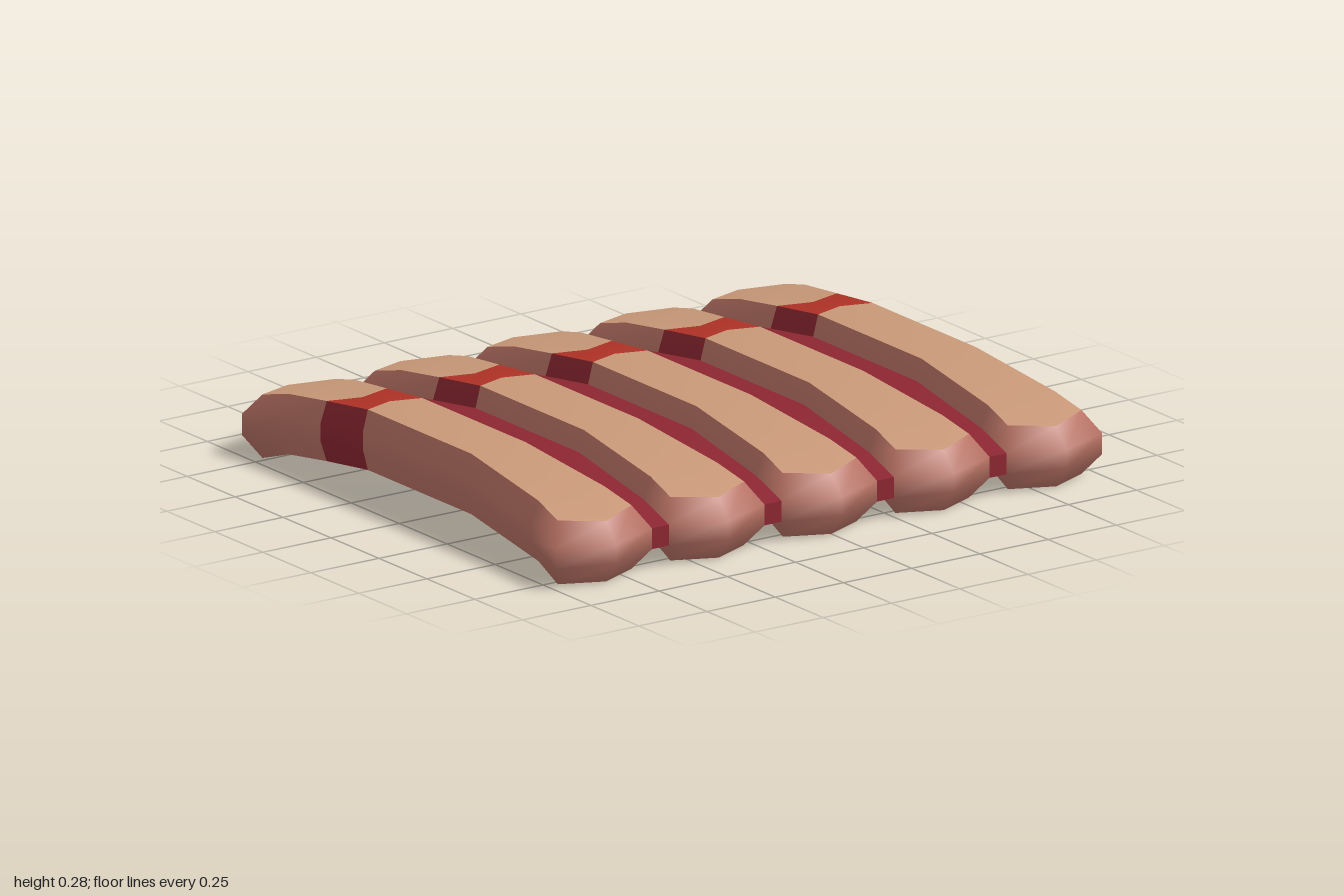
import * as THREE from 'three';

const COUNT = 5, SPACING = 0.4125;

// Cross-sections front to back: edge z, centre z, widest z, half width of top, half width of side, top y, bottom y
const STATIONS = [
  [0.77, 0.83, 0.82, 0.135, 0.175, 0.20, 0.0],
  [0.65, 0.65, 0.65, 0.122, 0.148, 0.23, 0.04],
  [0.27, 0.27, 0.27, 0.10, 0.118, 0.275, 0.085],
  [-0.27, -0.30, -0.27, 0.10, 0.118, 0.275, 0.085],
  [-0.47, -0.44, -0.47, 0.11, 0.133, 0.252, 0.063],
  [-0.65, -0.65, -0.65, 0.122, 0.148, 0.23, 0.04],
  [-0.77, -0.83, -0.82, 0.135, 0.175, 0.20, 0.0],
].map(([z, zc, zs, top, side, yTop, yBot]) => ({
  z, zc, zs, top, side, yTop, yBot,
  yUp: yTop - 0.067, yLow: yBot + 0.067,
}));
const BAND = 3; // the coloured band lies between stations 3 and 4

const paint = (color) => new THREE.MeshStandardMaterial({ color, roughness: 0.9 });

// Surface through rows of points; cells accepted by isBand use the second material
function grid(rows, closed, isBand = () => false) {
  const n = rows[0].length, plain = [], band = [];
  for (let r = 0; r < rows.length - 1; r++) {
    for (let c = 0; c < (closed ? n : n - 1); c++) {
      const a = r * n + c, b = r * n + (c + 1) % n, d = a + n, e = b + n;
      (isBand(r, c) ? band : plain).push(a, b, e, a, e, d);
    }
  }
  const geo = new THREE.BufferGeometry();
  geo.setAttribute('position', new THREE.Float32BufferAttribute(rows.flat(2), 3));
  geo.setIndex([...plain, ...band]);
  geo.addGroup(0, plain.length, 0);
  geo.addGroup(plain.length, band.length, 1);
  geo.computeVertexNormals();
  return geo;
}

// One closed outline of a log at a given level, counterclockwise from above
function outline(level) {
  const outer = level === 1 || level === 2;
  const key = ['yBot', 'yLow', 'yUp', 'yTop'][level];
  const tipY = [0, 0.07, 0.13, 0.19][level], tipZ = outer ? 0.885 : 0.83;
  const edge = (s, sign) => [sign * (outer ? s.side : s.top), s[key], outer ? s.zs : s.z];
  return [
    [0, tipY, tipZ],
    ...STATIONS.map((s) => edge(s, 1)),
    [0, tipY, -tipZ],
    ...[...STATIONS].reverse().map((s) => edge(s, -1)),
  ];
}

// Flat upper or lower face of a log, with pointed ends
function faceRows(up) {
  return STATIONS.map((s, i) => {
    const y = up ? s.yTop : s.yBot;
    const atEnd = i === 0 || i === STATIONS.length - 1;
    const row = [[-s.top, y, s.z], [0, up && atEnd ? 0.19 : y, s.zc], [s.top, y, s.z]];
    return up ? row : row.reverse();
  });
}

// Filler between two neighbouring logs, centred on x = 0
function fillerGeometry() {
  const strip = (key, dir) => STATIONS.map((s) => {
    const w = (SPACING / 2 - s.side) * dir;
    return [[-w, s[key], s.zs], [w, s[key], s.zs]];
  });
  return [grid(strip('yUp', 1)), grid(strip('yLow', -1))];
}

function endGeometry(sign) {
  const s = STATIONS[0], w = (SPACING / 2 - s.side) * sign, z = s.zs * sign;
  return grid([[[-w, s.yLow, z], [w, s.yLow, z]], [[-w, s.yUp, z], [w, s.yUp, z]]]);
}

export function createModel() {
  const model = new THREE.Group();
  model.name = 'logRaft';
  const tan = paint(0xc89878), pink = paint(0xb87264);
  const red = paint(0xaf3226), crimson = paint(0x8c2631);

  const isSideBand = (r, c) => c === BAND + 1 || c === 14 - BAND;
  const isFaceBand = (r) => r === BAND;
  const sides = grid([0, 1, 2, 3].map(outline), true, isSideBand);
  const top = grid(faceRows(true), false, isFaceBand);
  const bottom = grid(faceRows(false), false, isFaceBand);

  const add = (parent, name, geo, mat) => {
    const mesh = new THREE.Mesh(geo, mat);
    mesh.name = name;
    parent.add(mesh);
  };

  // Logs with their bands
  for (let i = 0; i < COUNT; i++) {
    const log = new THREE.Group();
    log.name = 'log' + (i + 1);
    log.position.x = (i - (COUNT - 1) / 2) * SPACING;
    add(log, 'logSides', sides, [pink, crimson]);
    add(log, 'logTop', top, [tan, red]);
    add(log, 'logBottom', bottom, [tan, red]);
    model.add(log);
  }

  // Fillers joining the logs
  const [fillTop, fillBottom] = fillerGeometry();
  const ends = [endGeometry(1), endGeometry(-1)];
  for (let i = 0; i < COUNT - 1; i++) {
    const filler = new THREE.Group();
    filler.name = 'filler' + (i + 1);
    filler.position.x = (i - (COUNT - 2) / 2) * SPACING;
    add(filler, 'fillerTop', fillTop, crimson);
    add(filler, 'fillerBottom', fillBottom, crimson);
    add(filler, 'fillerFront', ends[0], crimson);
    add(filler, 'fillerBack', ends[1], crimson);
    model.add(filler);
  }
  return model;
}
